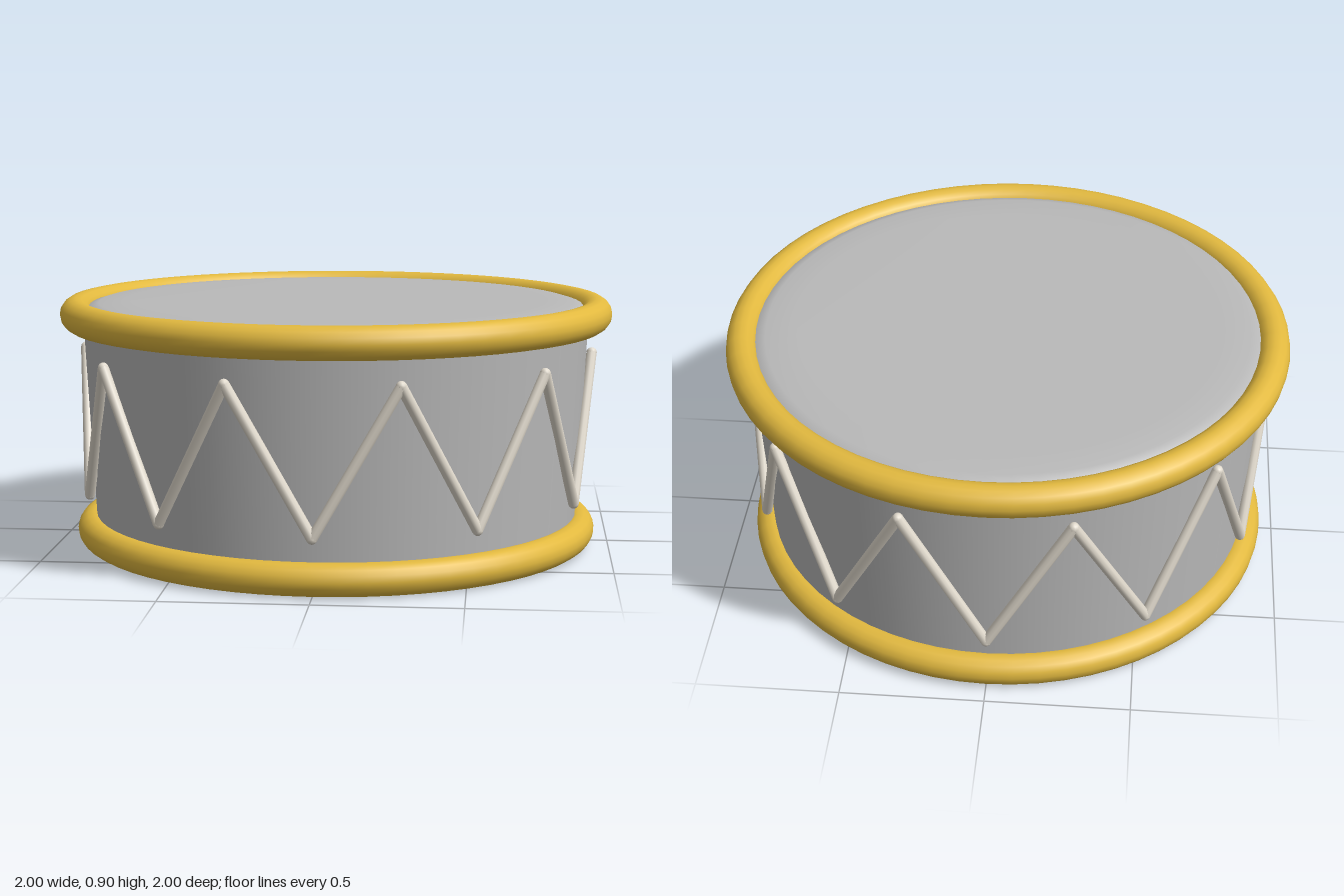
import * as THREE from 'three';

export function createModel() {
  const drum = new THREE.Group();
  drum.name = 'drum';
  const grey = new THREE.MeshStandardMaterial({ name: 'shellGrey', color: 0xb9b9b9 });
  const gold = new THREE.MeshStandardMaterial({ name: 'hoopGold', color: 0xe2b93f });
  const cream = new THREE.MeshStandardMaterial({ name: 'ropeCream', color: 0xe0d9cc });

  const add = (name, geometry, material, parent = drum) => {
    const mesh = new THREE.Mesh(geometry, material);
    mesh.name = name;
    parent.add(mesh);
    return mesh;
  };
  const lathe = (pts) =>
    new THREE.LatheGeometry(pts.map(([r, y]) => new THREE.Vector2(r, y)), 64);

  // Tapered shell and the two softly rounded skins
  add('shell', lathe([[0.878, 0.05], [0.918, 0.85]]), grey);
  add('topHead', lathe([[0.918, 0.85], [0.9, 0.872], [0.86, 0.884], [0.75, 0.889], [0, 0.889]]), grey);
  add('bottomHead', lathe([[0, 0.016], [0.71, 0.016], [0.82, 0.021], [0.86, 0.033], [0.878, 0.05]]), grey);

  // Hoops
  for (const [name, radius, y] of [['topHoop', 0.943, 0.845], ['bottomHoop', 0.893, 0.06]]) {
    const hoop = add(name, new THREE.TorusGeometry(radius, 0.057, 16, 64), gold);
    hoop.rotation.x = Math.PI / 2;
    hoop.position.y = y;
  }

  // Zigzag rope: straight runs between alternating low and high corners
  const rope = new THREE.Group();
  rope.name = 'zigzagRope';
  drum.add(rope);
  const corners = 20, thickness = 0.019;
  const corner = (i) => {
    const a = (i / corners) * Math.PI * 2;
    const high = i % 2 === 1;
    const r = high ? 0.93 : 0.91;
    return new THREE.Vector3(Math.sin(a) * r, high ? 0.7 : 0.2, Math.cos(a) * r);
  };
  const up = new THREE.Vector3(0, 1, 0);
  for (let i = 0; i < corners; i++) {
    const a = corner(i), b = corner(i + 1);
    const run = b.clone().sub(a);
    const strand = add('ropeStrand',
      new THREE.CylinderGeometry(thickness, thickness, run.length(), 10, 1, true), cream, rope);
    strand.position.copy(a).add(b).multiplyScalar(0.5);
    strand.quaternion.setFromUnitVectors(up, run.normalize());
    add('ropeCorner', new THREE.SphereGeometry(thickness, 10, 8), cream, rope).position.copy(a);
  }
  return drum;
}
